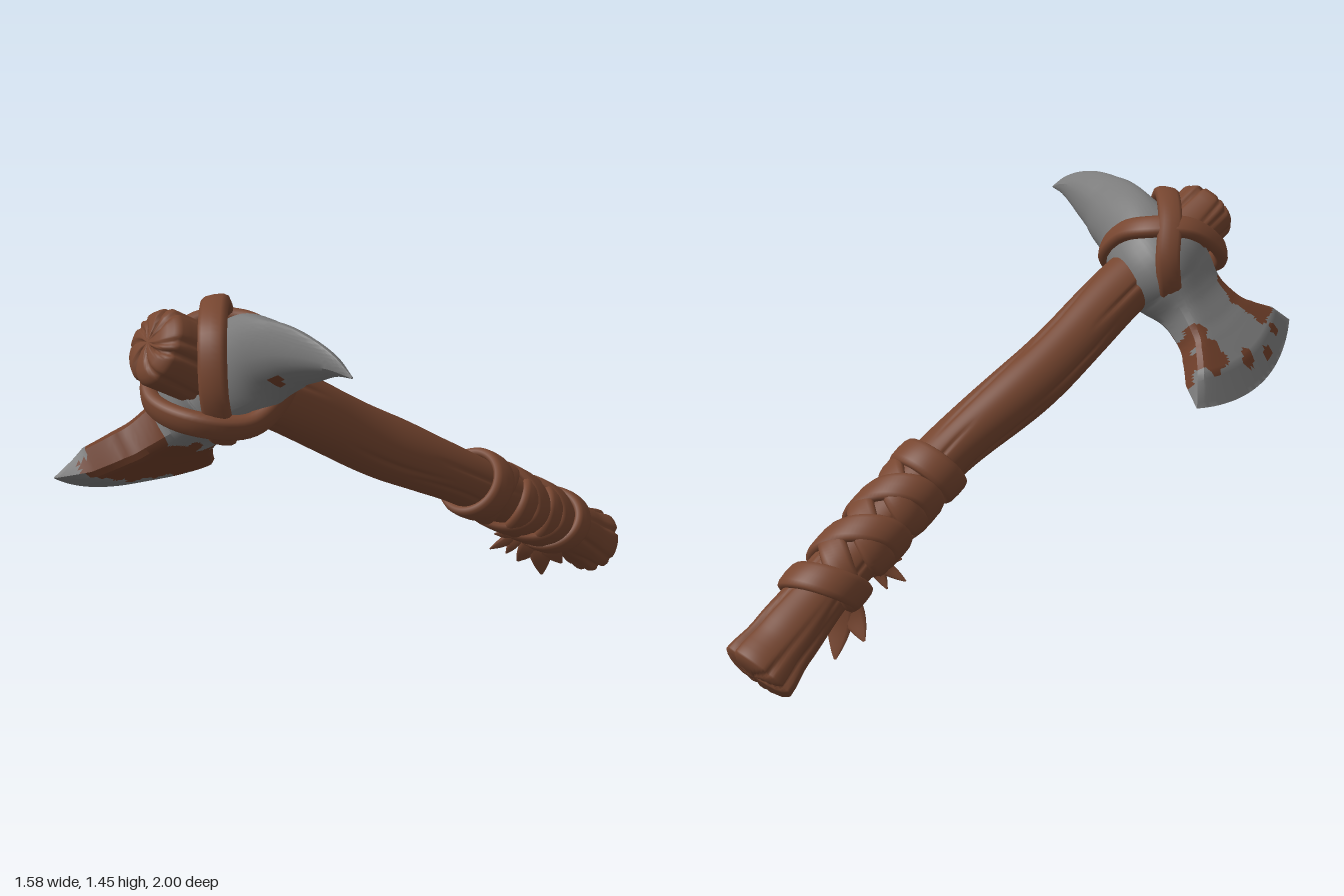
import * as THREE from 'three';
import { toCreasedNormals } from 'three/addons/utils/BufferGeometryUtils.js';

const V = (x, y, z) => new THREE.Vector3(x, y, z);
const at = (p, ...terms) => {
  const r = p.clone();
  for (const [dir, k] of terms) r.addScaledVector(dir, k);
  return r;
};
// direction a made perpendicular to the unit vector t
const perp = (a, t) => at(a, [t, -a.dot(t)]).normalize();
const paint = (name, color) => Object.assign(new THREE.MeshStandardMaterial({ color }), { name });

// Skin a list of equal-sized rings (counter-clockwise about the travel direction)
function loft(rings, closed = false) {
  const n = rings[0].length, m = rings.length, pos = [], idx = [];
  rings.forEach(r => r.forEach(p => pos.push(p.x, p.y, p.z)));
  for (let i = 0; i < (closed ? m : m - 1); i++) {
    const a = i * n, b = ((i + 1) % m) * n;
    for (let j = 0; j < n; j++) {
      const k = (j + 1) % n;
      idx.push(a + j, a + k, b + j, b + j, a + k, b + k);
    }
  }
  if (!closed) {
    [[0, true], [m - 1, false]].forEach(([row, flip]) => {
      const c = V(0, 0, 0);
      rings[row].forEach(p => c.addScaledVector(p, 1 / n));
      const ci = pos.length / 3;
      pos.push(c.x, c.y, c.z);
      for (let j = 0; j < n; j++) {
        const a = row * n + j, b = row * n + (j + 1) % n;
        idx.push(ci, flip ? b : a, flip ? a : b);
      }
    });
  }
  const g = new THREE.BufferGeometry();
  g.setAttribute('position', new THREE.Float32BufferAttribute(pos, 3));
  g.setIndex(idx);
  g.computeVertexNormals();
  return g;
}

// Rounded band swept along a path; outward(p, u) gives the direction away from the core
function band(points, closed, steps, outward, thick, wide) {
  const curve = new THREE.CatmullRomCurve3(points, closed);
  const rings = [];
  for (let i = 0; i < (closed ? steps : steps + 1); i++) {
    const u = i / steps, p = curve.getPoint(u), t = curve.getTangent(u);
    const o = perp(outward(p, u), t), b = t.clone().cross(o);
    const k = closed ? 1 : 1 - 0.92 * u ** 2.2;
    const ring = [];
    for (let j = 0; j < 12; j++) {
      const a = j / 12 * Math.PI * 2, c = Math.cos(a), s = Math.sin(a);
      ring.push(at(p, [o, Math.sign(c) * Math.abs(c) ** 0.7 * thick * k], [b, Math.sign(s) * Math.abs(s) ** 0.7 * wide * k]));
    }
    rings.push(ring);
  }
  return loft(rings, closed);
}

// Head frame: centre, direction to the blade, and direction across the blade
const HEAD = V(-0.3, 1.18, 0.61);
const OUT = V(-0.72, -0.69, -0.1).normalize();
const ACROSS = perp(V(-0.37, 0.18, 0.91), OUT);
const UP = OUT.clone().cross(ACROSS);

// Handle centre line, from the head end to the butt
const AXIS = new THREE.CatmullRomCurve3([
  V(-0.447, 1.335, 0.808), V(-0.3, 1.19, 0.61), V(-0.19, 1.09, 0.465), V(0.017, 0.862, 0.16),
  V(0.272, 0.64, -0.155), V(0.433, 0.45, -0.42), V(0.555, 0.29, -0.66), V(0.669, 0.115, -0.915)]);

function axisFrame(t) {
  const u = Math.min(1, Math.max(0, t));
  const T = AXIS.getTangentAt(u), e1 = perp(V(0.55, -0.69, 0.45), T);
  return { p: AXIS.getPointAt(u), T, e1, e2: T.clone().cross(e1) };
}

function handleGeometry() {
  const radii = [[0, 0.122], [0.07, 0.122], [0.14, 0.108], [0.3, 0.111], [0.42, 0.115], [0.6, 0.1], [0.85, 0.102], [0.95, 0.116], [1, 0.132]];
  const radius = t => {
    const i = Math.max(1, radii.findIndex(r => r[0] >= t));
    const [t0, r0] = radii[i - 1], [t1, r1] = radii[i];
    return r0 + (r1 - r0) * THREE.MathUtils.smoothstep(t, t0, t1);
  };
  const ring = (t, shift, scale) => {
    const { p, T, e1, e2 } = axisFrame(t), pts = [];
    const end = Math.max(1 - t / 0.1, 1 - (1 - t) / 0.14, 0);
    for (let j = 0; j < 96; j++) {
      const a = j / 96 * Math.PI * 2;
      let cut = 0;
      // wandering grain grooves, deeper at both ends
      for (let k = 0; k < 10; k++) {
        const gap = a - k * 0.628 - 0.25 * Math.sin(k * 2.4) - 0.2 * Math.sin(t * 9 + k * 1.9) - (1 - scale) * 0.5;
        const d = Math.atan2(Math.sin(gap), Math.cos(gap));
        const depth = 0.075 * Math.max(0, Math.sin(t * 14 + k * 2.3)) + 0.065 * end;
        cut += depth * Math.exp(-((d / 0.075) ** 2));
      }
      const r = radius(t) * scale * (1 - cut + 0.02 * Math.sin(3 * a + t * 8));
      pts.push(at(p, [e1, r * Math.cos(a)], [e2, r * Math.sin(a)], [T, shift * (1 - cut * 3)]));
    }
    return pts;
  };
  // domed knob at the head, flatter butt
  const dome = [[0.038, 0.25], [0.037, 0.5], [0.033, 0.72], [0.022, 0.88], [0.01, 0.96]];
  const rings = dome.map(([s, k]) => ring(0, -s, k));
  for (let i = 0; i <= 80; i++) rings.push(ring(i / 80, 0, 1));
  dome.reverse().forEach(([s, k]) => rings.push(ring(1, s * 0.6, k)));
  return loft(rings);
}

// Square perimeter in unit coordinates, used for every head cross-section
const SQUARE = [];
for (const [x0, y0, x1, y1, n] of [[1, -1, 1, 1, 6], [1, 1, -1, 1, 36], [-1, 1, -1, -1, 6], [-1, -1, 1, -1, 36]])
  for (let i = 0; i < n; i++) SQUARE.push([x0 + (x1 - x0) * i / n, y0 + (y1 - y0) * i / n]);

function headGeometry() {
  const out = s => at(HEAD, [OUT, s]);
  // centre, half width, half thickness, squareness
  const stations = [
    [V(0.22, 1.347, 0.995), 0.003, 0.003, 1.4], [V(0.155, 1.366, 0.953), 0.024, 0.04, 1.4],
    [V(0.08, 1.367, 0.9), 0.042, 0.076, 1.4], [V(-0.04, 1.343, 0.8), 0.068, 0.115, 1.5],
    [V(-0.17, 1.285, 0.69), 0.115, 0.147, 1.9], [HEAD, 0.19, 0.17, 2.3],
    [out(0.12), 0.17, 0.13, 3], [out(0.2), 0.147, 0.095, 4], [out(0.3), 0.16, 0.074, 6],
    [out(0.39), 0.206, 0.066, 9], [out(0.49), 0.284, 0.058, 10]];
  const path = new THREE.CatmullRomCurve3(stations.map(s => s[0]));
  const size = new THREE.CatmullRomCurve3(stations.map(s => V(s[1], s[2], s[3])));
  const section = (p, T, a, b, q) => {
    const side = p.clone().sub(HEAD).dot(OUT), s = Math.max(0, side);
    // the pick is rolled so its lower edge sits further back
    const roll = 0.62 * THREE.MathUtils.smoothstep(-side, 0.06, 0.28);
    const w0 = perp(ACROSS, T), n0 = T.clone().cross(w0);
    const w = at(V(0, 0, 0), [w0, Math.cos(roll)], [n0, -Math.sin(roll)]), n = T.clone().cross(w);
    return SQUARE.map(([x, y]) => {
      const k = (Math.abs(x) ** q + Math.abs(y) ** q) ** (-1 / q);
      return at(p, [w, x * k * a], [n, y * k * b], [OUT, -0.27 * s * s * (x * k) ** 2]);
    });
  };
  const rings = [];
  for (let i = 0; i <= 90; i++) {
    const u = i / 90, z = size.getPoint(u);
    rings.push(section(path.getPoint(u), path.getTangent(u), Math.max(z.x, 0.002), Math.max(z.y, 0.002), z.z));
  }
  // straight bevel down to the cutting edge
  for (let i = 1; i <= 6; i++) {
    const f = i / 6;
    rings.push(section(out(0.49 + 0.12 * f), OUT, 0.284 + 0.073 * f, 0.058 - 0.056 * f, 10));
  }
  return toCreasedNormals(loft(rings), 0.5);
}

// Rust: most of the underside, ragged blobs (along, across, radius) on the upper face and flanks
const BLOBS = [[0.27, 0.14, 0.065], [0.36, 0.2, 0.085], [0.31, -0.17, 0.05], [0.4, -0.18, 0.065],
  [0.5, -0.03, 0.035], [0.49, 0.2, 0.032], [0.54, 0.1, 0.028]];
function isRust(p) {
  if (Math.hypot(p.x + 0.07, (p.y - 1.262) * 1.2) < 0.026 && p.z > 0.7) return true;
  const d = p.clone().sub(HEAD), s = d.dot(OUT), x = d.dot(ACROSS), y = d.dot(UP);
  const noise = Math.sin(x * 43 + 1.5 * Math.sin(s * 31)) * Math.sin(s * 47 + 1.8 * Math.sin(x * 19));
  if (y < 0.01) {
    const edge = s + 0.27 * s * s * Math.min(1, (x / 0.32) ** 2);
    return edge < 0.475 + 0.02 * noise && s > (x > -0.05 ? 0.24 : 0.29) + 0.04 * noise;
  }
  return BLOBS.some(([bs, bx, r]) => Math.hypot(s - bs, x - bx) < r * (1 + 0.3 * noise));
}

function splitByRust(g) {
  const P = g.attributes.position, lists = [[], []], v = V(0, 0, 0);
  for (let i = 0; i < P.count; i += 3) {
    const c = V(0, 0, 0);
    for (let k = 0; k < 3; k++) c.addScaledVector(v.fromBufferAttribute(P, i + k), 1 / 3);
    lists[isRust(c) ? 1 : 0].push(i, i + 1, i + 2);
  }
  g.setIndex(lists.flat());
  g.addGroup(0, lists[0].length, 0);
  g.addGroup(lists[0].length, lists[1].length, 1);
  return g;
}

export function createModel() {
  const wood = paint('wood', 0x75452f), leather = paint('leather', 0x774630);
  const steel = paint('steel', 0x7b7b7b), rust = paint('rust', 0x6e3e29);
  const model = new THREE.Group();
  model.name = 'axe';
  const add = (name, geometry, material) => {
    const mesh = new THREE.Mesh(geometry, material);
    mesh.name = name;
    model.add(mesh);
  };

  add('handle', handleGeometry(), wood);
  add('axeHead', splitByRust(headGeometry()), [steel, rust]);

  // Two crossed straps tying the head to the handle
  const fromHead = p => p.clone().sub(HEAD);
  add('headStrapUpright', band([
    V(-0.38, 1.24, 0.43), V(-0.37, 1.37, 0.5), V(-0.33, 1.43, 0.63), V(-0.28, 1.37, 0.78),
    V(-0.265, 1.2, 0.82), V(-0.28, 1.045, 0.735), V(-0.34, 1.02, 0.57), V(-0.385, 1.11, 0.46)],
  true, 72, fromHead, 0.027, 0.045), leather);
  add('headStrapLevel', band([
    V(-0.3, 1.345, 0.475), V(-0.19, 1.31, 0.51), V(-0.105, 1.2, 0.6), V(-0.17, 1.095, 0.745), V(-0.33, 1.11, 0.83),
    V(-0.49, 1.15, 0.78), V(-0.53, 1.24, 0.65), V(-0.44, 1.34, 0.52)],
  true, 72, fromHead, 0.026, 0.042), leather);

  // Overlapping grip wraps: centre, tilt, phase, radius, half width
  [[0.622, 0.006, 4.71, 0.115, 0.055], [0.665, 0.035, 2.6, 0.107, 0.05], [0.7, 0.04, 5.6, 0.111, 0.05],
    [0.74, 0.035, 2.4, 0.107, 0.052], [0.775, 0.04, 5.4, 0.112, 0.05], [0.81, 0.03, 2.2, 0.107, 0.05],
    [0.85, 0.02, 4.71, 0.118, 0.052]].forEach(([t0, tilt, phase, r, wide], i) => {
    const points = [], outs = [];
    for (let j = 0; j < 24; j++) {
      const a = j / 24 * Math.PI * 2, { p, e1, e2 } = axisFrame(t0 + tilt * Math.cos(a - phase));
      const o = at(V(0, 0, 0), [e1, Math.cos(a)], [e2, Math.sin(a)]);
      outs.push(o);
      points.push(at(p, [o, r]));
    }
    add('gripWrap' + (i + 1), band(points, true, 72, (p, u) => {
      const f = u * 24, k = Math.floor(f);
      return outs[k % 24].clone().lerp(outs[(k + 1) % 24], f - k);
    }, 0.02, wide), leather);
  });

  // Ragged loose ends hanging below the grip
  const tails = [
    [V(0.46, 0.34, -0.46), [V(0.34, 0.245, -0.42), V(0.4, 0.22, -0.45), V(0.36, 0.32, -0.4)], 0.03],
    [V(0.51, 0.27, -0.6), [V(0.415, 0.11, -0.63), V(0.51, 0.045, -0.67), V(0.59, 0.11, -0.66)], 0.055]];
  tails.forEach(([root, tips, wide], i) => tips.forEach((tip, k) => {
    const mid = root.clone().lerp(tip, 0.5).add(V(0, -0.008, 0.012));
    add(`looseEnd${i + 1}_${k + 1}`, band([root, mid, tip], false, 10, () => V(0.2, -0.3, 0.9), 0.013, wide), leather);
  }));
  return model;
}
